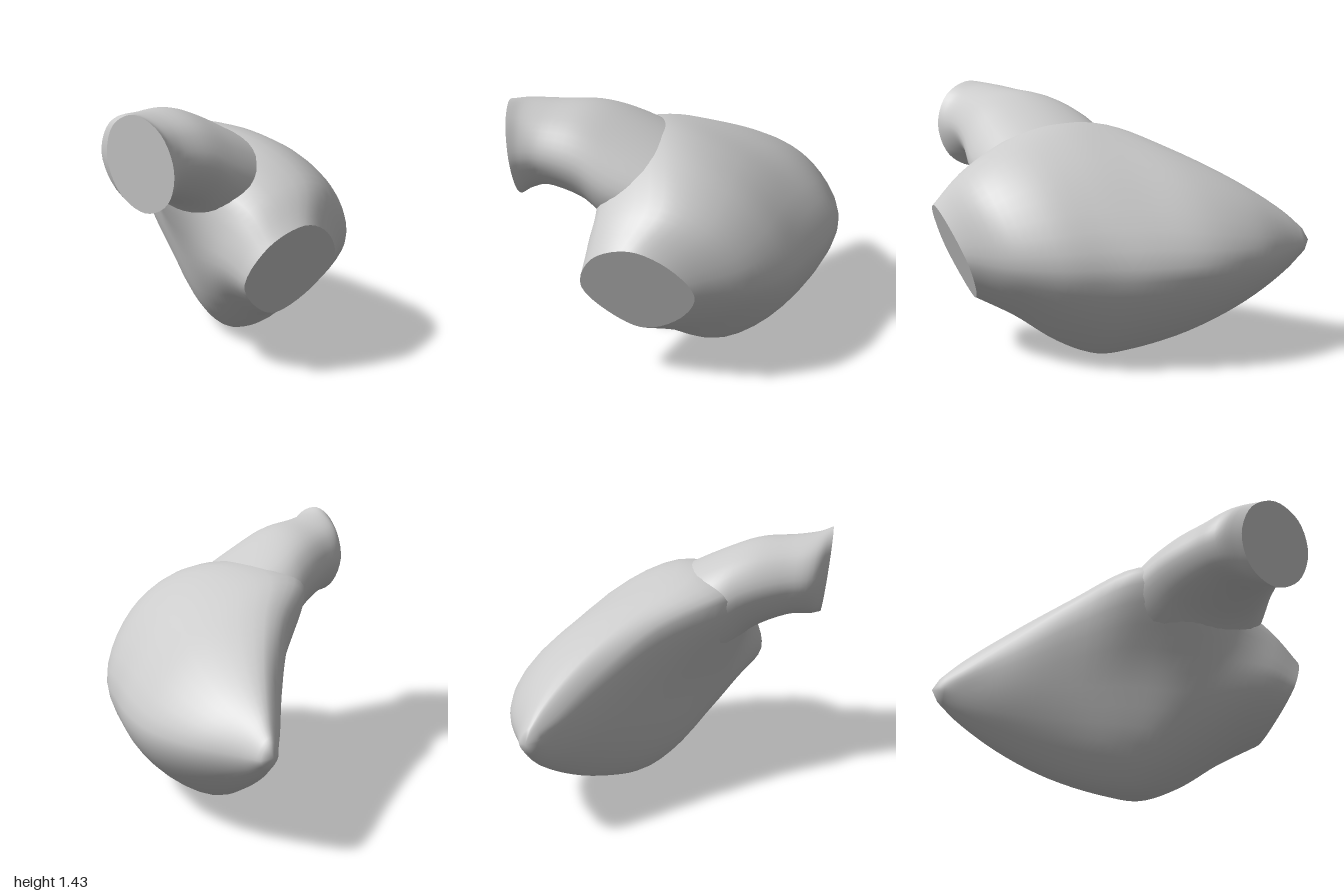
import * as THREE from 'three';

const AROUND = 40;
const material = new THREE.MeshStandardMaterial({ color: 0xcccccc });

function mesh(name, points, index) {
  const geometry = new THREE.BufferGeometry().setFromPoints(points);
  geometry.setIndex(index);
  geometry.computeVertexNormals();
  const m = new THREE.Mesh(geometry, material);
  m.name = name;
  return m;
}

// Smooth rings through control sections (clockwise seen from the first one)
function makeRings(sections, steps) {
  const lines = sections[0].map((_, i) => new THREE.CatmullRomCurve3(sections.map(s => s[i])));
  return Array.from({ length: steps + 1 }, (_, j) => {
    const loop = new THREE.CatmullRomCurve3(lines.map(c => c.getPoint(j / steps)), true);
    return Array.from({ length: AROUND }, (_, i) => loop.getPoint(i / AROUND));
  });
}

// Skin over the rings, closed to a rounded tip
function skin(name, rings, tip) {
  const index = [];
  const last = (rings.length - 1) * AROUND;
  for (let j = 0; j <= last; j += AROUND) {
    for (let i = 0; i < AROUND; i++) {
      const a = j + i, b = j + (i + 1) % AROUND;
      if (j < last) index.push(a, b, a + AROUND, b, b + AROUND, a + AROUND);
      else index.push(a, b, last + AROUND);
    }
  }
  return mesh(name, [...rings.flat(), tip], index);
}

// Flat fan closing the first ring
function cap(name, ring) {
  const center = ring.reduce((s, p) => s.add(p), new THREE.Vector3()).divideScalar(AROUND);
  const index = [];
  for (let i = 0; i < AROUND; i++) index.push(AROUND, (i + 1) % AROUND, i);
  return mesh(name, [...ring, center], index);
}

// Chamber from inlet to apex: z, ridge x y, top x y, outer x, bottom x y, inner x
const chamber = [
  [0.9, -.23, .75, -.02, .83, .29, -.01, .31, -.32],
  [0.72, -.24, .9, .1, 1.01, .55, .1, .22, -.32],
  [0.5, -.3, 1, .05, 1.16, .68, .2, .08, -.28],
  [0.25, -.4, 1.08, -.05, 1.24, .74, .23, 0, -.22],
  [0, -.33, 1.13, -.1, 1.22, .79, .26, .02, -.12],
  [-0.3, -.04, 1.03, .1, 1.1, .8, .36, .12, .04],
  [-0.6, .18, .85, .28, .94, .71, .43, .27, .2],
  [-0.85, .33, .69, .4, .77, .56, .45, .43, .345],
  [-0.96, .41, .64, .44, .67, .5, .45, .53, .4],
];

// One chamber section; the points between the given ones lie on rounded corners,
// and the section leans back more and more towards the inlet
function chamberSection([z, ridgeX, ridgeY, topX, topY, outerX, bottomX, bottomY, innerX]) {
  const { lerp } = THREE.MathUtils;
  const midY = 0.58;
  const innerY = lerp(ridgeY, bottomY, 0.45);
  const tilt = Math.max(0, z) * 0.444;
  return [
    [ridgeX, ridgeY],
    [topX, topY],
    [lerp(topX, outerX, 0.62), lerp(midY, topY, 0.68)],
    [outerX, midY],
    [lerp(bottomX, outerX, 0.7), lerp(midY, bottomY, 0.6)],
    [bottomX, bottomY],
    [lerp(bottomX, innerX, 0.5), lerp(innerY, bottomY, 0.75)],
    [innerX, innerY],
  ].map(([x, y]) => new THREE.Vector3(x, y, z + tilt * (y - 0.57)));
}

// Outlet tube: x, bottom y, top y, back z, front z
const outlet = [
  [-.76, .93, 1.43, .4, .83],
  [-.71, .945, 1.415, .27, .8],
  [-.6, .955, 1.4, .18, .77],
  [-.4, .88, 1.385, .05, .76],
  [-.2, .72, 1.315, -.07, .76],
  [.3, .7, 1.06, -.1, .68],
];

// One oval outlet section, slanted near the open end
function outletSection([x, y0, y1, z0, z1]) {
  const slant = Math.max(0, 1 - 6 * (x + 0.76));
  return Array.from({ length: 8 }, (_, i) => {
    const a = i * Math.PI / 4;
    const dy = (y1 - y0) / 2 * Math.cos(a), dz = (z1 - z0) / 2 * Math.sin(a);
    return new THREE.Vector3(x + slant * (0.2 * dz - 0.12 * dy), (y0 + y1) / 2 + dy, (z0 + z1) / 2 + dz);
  });
}

export function createModel() {
  const group = new THREE.Group();
  group.name = 'heartChamber';

  const chamberRings = makeRings(chamber.map(chamberSection), 40);
  group.add(skin('chamberWall', chamberRings, new THREE.Vector3(0.45, 0.6, -1)));
  group.add(cap('inletCap', chamberRings[0]));

  const outletRings = makeRings(outlet.map(outletSection), 24);
  group.add(skin('outletTube', outletRings, new THREE.Vector3(0.33, 0.85, 0.28)));
  group.add(cap('outletCap', outletRings[0]));

  return group;
}
